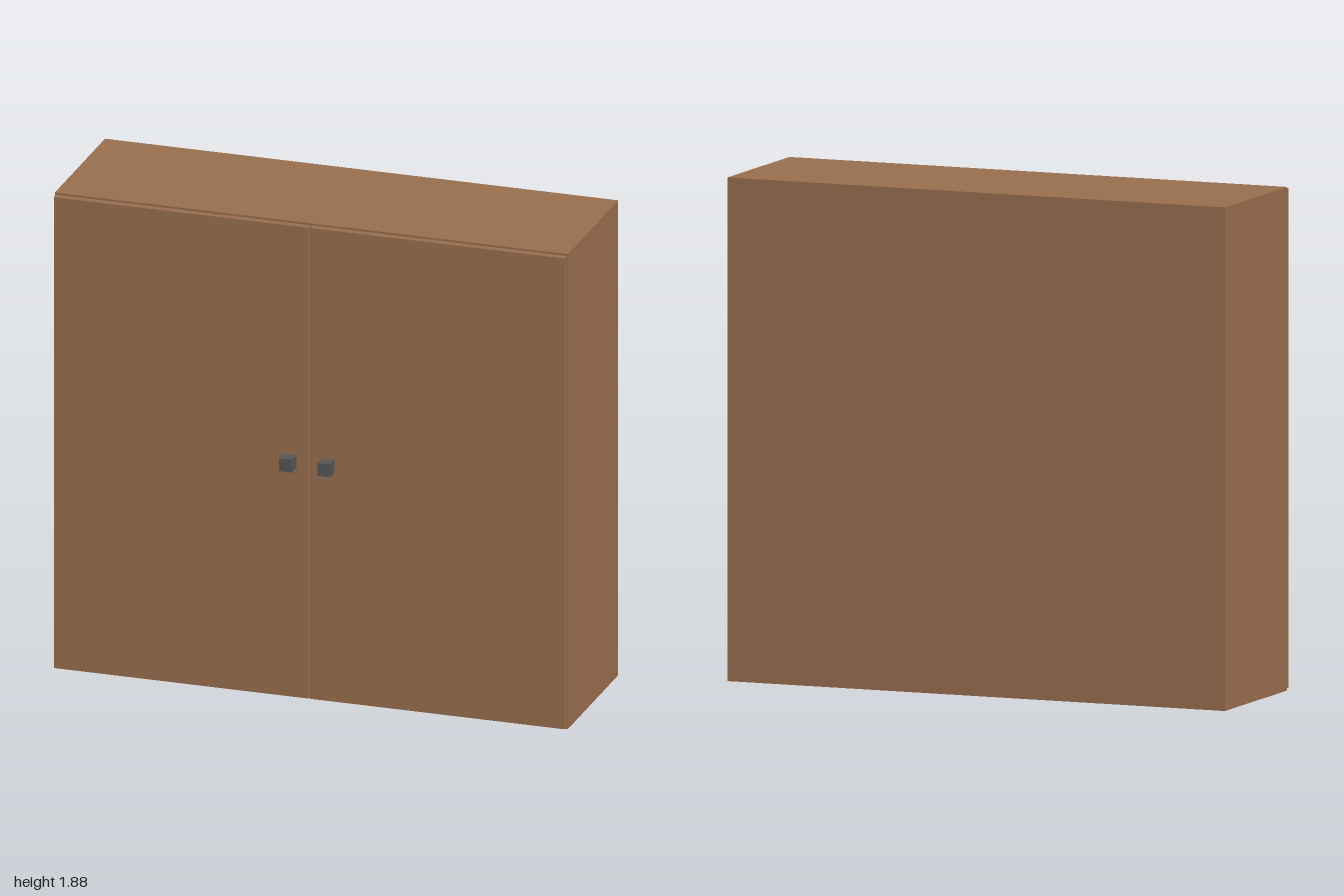
import * as THREE from 'three';

export function createModel() {
  const wood = new THREE.MeshStandardMaterial({ color: 0x996e4e });
  wood.name = 'brown wood';
  const metal = new THREE.MeshStandardMaterial({ color: 0x555555 });
  metal.name = 'dark grey metal';

  const group = new THREE.Group();
  group.name = 'cabinet';

  // Box spanning the given limits on each axis
  function box(name, material, [x0, x1], [y0, y1], [z0, z1]) {
    const mesh = new THREE.Mesh(new THREE.BoxGeometry(x1 - x0, y1 - y0, z1 - z0), material);
    mesh.position.set((x0 + x1) / 2, (y0 + y1) / 2, (z0 + z1) / 2);
    mesh.name = name;
    group.add(mesh);
  }

  const height = 1.88, back = -0.33, front = 0.255, doorFront = 0.282, t = 0.03;

  // Carcass panels
  box('bottomPanel', wood, [-1, 1], [0, t], [back, front]);
  box('topPanel', wood, [-1, 1], [height - t, height], [back, front]);
  box('backPanel', wood, [-1 + t, 1 - t], [t, height - t], [back, back + t]);

  for (const [side, s] of [['left', 1], ['right', -1]]) {
    const span = (a, b) => [Math.min(a * s, b * s), Math.max(a * s, b * s)];
    box(side + 'SidePanel', wood, span(1 - t, 1), [t, height - t], [back, front]);
    // Door, slightly smaller than the carcass, and its square knob
    box(side + 'Door', wood, span(0.004, 0.995), [0.008, height - 0.008], [front, doorFront]);
    box(side + 'Knob', metal, span(0.05, 0.1), [0.915, 0.965], [doorFront, 0.332]);
  }
  return group;
}
